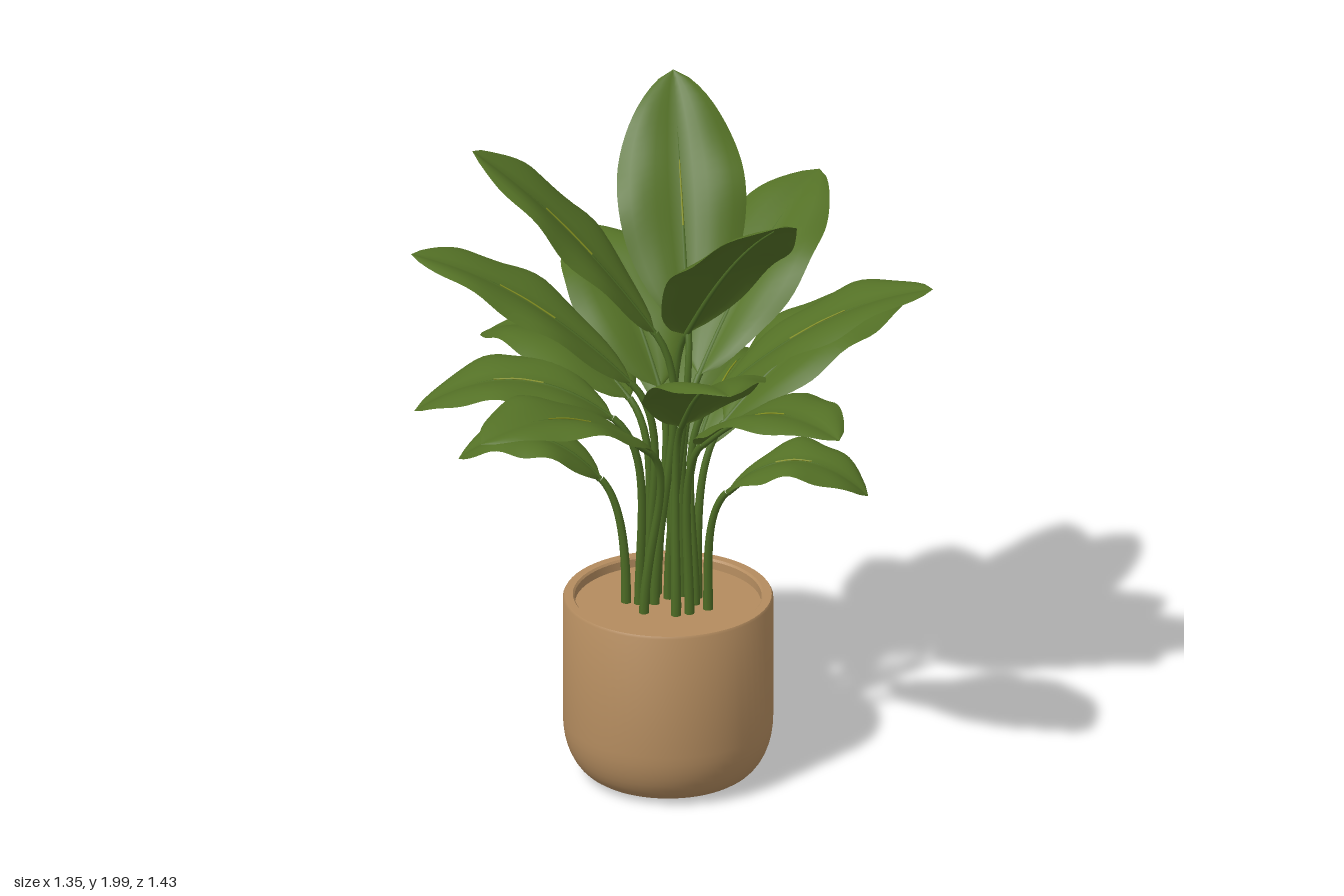
import * as THREE from 'three';
import { toCreasedNormals } from 'three/addons/utils/BufferGeometryUtils.js';

const V = (x, y, z) => new THREE.Vector3(x, y, z);
const UP = V(0, 1, 0);

// Blade base and blade tip of each leaf, by ring
const TALL = [
  [[0.05, 1.38, 0.0], [-0.2, 1.99, -0.37]],
  [[0.04, 1.36, 0.0], [0.5, 1.91, 0.29]],
  [[-0.02, 1.38, 0.07], [-0.5, 1.93, 0.28]],
];
const MIDDLE = [
  [[0.04, 1.2, -0.08], [0.085, 1.6, -0.72]],
  [[-0.08, 1.22, 0.1], [-0.65, 1.61, 0.37]],
  [[0.1, 1.15, -0.06], [0.67, 1.51, -0.32]],
  [[-0.07, 1.15, -0.05], [-0.47, 1.46, -0.33]],
  [[0.08, 1.12, 0.1], [0.45, 1.45, 0.49]],
];
const SPREADING = [
  [[0.1, 1.05, -0.12], [0.43, 1.32, -0.6]],
  [[-0.06, 1.05, -0.1], [-0.26, 1.24, -0.69]],
  [[-0.14, 1.12, 0.0], [-0.67, 1.17, -0.1]],
  [[-0.12, 1.12, 0.14], [-0.64, 1.12, 0.37]],
  [[0.02, 1.06, 0.18], [-0.24, 1.24, 0.71]],
  [[0.15, 1.08, 0.1], [0.68, 1.27, 0.26]],
];
const LOW = [
  [[0.18, 0.9, 0.01], [0.59, 0.94, -0.08]],
  [[-0.18, 0.9, 0.1], [-0.55, 0.95, 0.27]],
  [[-0.03, 0.9, -0.19], [-0.08, 1.0, -0.69]],
];

// Direction square to the blade at a point of its centre curve
function bladeFrame(curve, t) {
  const tan = curve.getTangent(t);
  const side = new THREE.Vector3().crossVectors(UP, tan).normalize();
  return { side, normal: new THREE.Vector3().crossVectors(tan, side) };
}

// Arched, softly folded blade: rows of points across a centre curve
function bladeGeometry(curve, width, phase) {
  const rows = 24, cols = 10, pos = [], index = [];
  for (let i = 0; i <= rows; i++) {
    const t = i / rows;
    const p = curve.getPoint(t), { side, normal } = bladeFrame(curve, t);
    const half = 0.5 * width * Math.pow(Math.max(0, Math.sin(Math.PI * Math.pow(t, 0.9))), 0.68);
    for (let j = 0; j <= cols; j++) {
      const s = (j / cols) * 2 - 1, a = Math.abs(s);
      const wave = 0.011 * a * a * Math.sin(t * 15 + phase + (s > 0 ? 1.7 : 0)) * Math.sin(Math.PI * t);
      const lift = half * (0.3 * a - 0.28 * a * a * a) + wave;
      const v = p.clone().addScaledVector(side, s * half).addScaledVector(normal, lift);
      pos.push(v.x, v.y, v.z);
      if (i < rows && j < cols) {
        const k = i * (cols + 1) + j, n = k + cols + 1;
        index.push(k, n, k + 1, k + 1, n, n + 1);
      }
    }
  }
  const g = new THREE.BufferGeometry();
  g.setAttribute('position', new THREE.Float32BufferAttribute(pos, 3));
  g.setIndex(index);
  g.computeVertexNormals();
  return g;
}

// Tube whose rings shrink evenly from the first to the last
function taperedTube(curve, segments, r0, r1) {
  const sides = 8, g = new THREE.TubeGeometry(curve, segments, 1, sides);
  const p = g.attributes.position;
  for (let i = 0; i < p.count; i++) {
    const t = Math.floor(i / (sides + 1)) / segments;
    const c = curve.getPointAt(t);
    const v = new THREE.Vector3().fromBufferAttribute(p, i).sub(c);
    v.multiplyScalar(r0 + (r1 - r0) * t).add(c);
    p.setXYZ(i, v.x, v.y, v.z);
  }
  return g;
}

export function createModel() {
  const model = new THREE.Group();
  const material = (name, color, side = THREE.FrontSide) => {
    const m = new THREE.MeshStandardMaterial({ color, side });
    m.name = name;
    return m;
  };
  const leafGreen = material('leaf green', 0x547126, THREE.DoubleSide);
  const stemGreen = material('stem green', 0x4d6c25);
  const veinYellow = material('vein yellow', 0x84901f);
  const clay = material('clay', 0xb48c5f);
  const add = (parent, name, geometry, mat) => {
    const mesh = new THREE.Mesh(geometry, mat);
    mesh.name = name;
    parent.add(mesh);
    return mesh;
  };

  // Pot with rounded foot and a thin lip
  const profile = [new THREE.Vector2(0, 0), new THREE.Vector2(0.18, 0)];
  for (let i = 0; i <= 10; i++) {
    const a = (i / 10) * Math.PI / 2;
    profile.push(new THREE.Vector2(0.2 + 0.1 * Math.sin(a), 0.005 + 0.165 * (1 - Math.cos(a))));
  }
  for (const [r, y] of [[0.3, 0.543], [0.296, 0.55], [0.272, 0.55], [0.267, 0.544], [0.265, 0.5]])
    profile.push(new THREE.Vector2(r, y));
  add(model, 'pot', toCreasedNormals(new THREE.LatheGeometry(profile, 64), 0.6), clay).position.z = 0.03;

  // Soil surface
  const soil = add(model, 'soil', new THREE.CylinderGeometry(0.266, 0.266, 0.02, 64), clay);
  soil.position.set(0, 0.51, 0.03);

  const addLeaf = (name, b, t, width, phase) => {
    const leaf = new THREE.Group();
    leaf.name = name;
    model.add(leaf);

    // Blade: flatter leaves arch more
    const base = V(...b), tip = V(...t);
    const arch = 0.11 - 0.11 * (tip.y - base.y);
    const mid = base.clone().lerp(tip, 0.5).addScaledVector(UP, 2 * arch);
    const spine = new THREE.QuadraticBezierCurve3(base, mid, tip);
    add(leaf, 'blade', bladeGeometry(spine, width, phase), leafGreen);

    // Stem: lower leaves root further out
    const spread = 0.12 - 0.17 * (base.y - 0.9);
    const root = V(tip.x, 0, tip.z - 0.03).normalize().multiplyScalar(spread).add(V(0, 0.51, 0.03));
    const rise = base.y - root.y;
    const stem = new THREE.CubicBezierCurve3(
      root,
      root.clone().addScaledVector(UP, rise * 0.4),
      base.clone().addScaledVector(spine.getTangent(0), -rise * 0.25),
      base);
    add(leaf, 'stem', taperedTube(stem, 20, 0.015, 0.01), stemGreen);

    // Midrib hangs just under the blade
    const rib = new THREE.CatmullRomCurve3([0, 0.2, 0.4, 0.6, 0.8, 0.95].map((u) =>
      spine.getPoint(u).addScaledVector(bladeFrame(spine, u).normal, -0.003)));
    add(leaf, 'midrib', taperedTube(rib, 16, 0.009, 0.002), stemGreen);

    // Pale vein line along the middle of the blade
    const vein = new THREE.CatmullRomCurve3([0.35, 0.48, 0.6].map((u) =>
      spine.getPoint(u).addScaledVector(bladeFrame(spine, u).normal, 0.003)));
    add(leaf, 'vein', taperedTube(vein, 8, 0.003, 0.002), veinYellow);
  };

  const rings = { tallLeaf: [TALL, 0.37], middleLeaf: [MIDDLE, 0.35], spreadingLeaf: [SPREADING, 0.35], lowLeaf: [LOW, 0.29] };
  for (const [name, [leaves, width]] of Object.entries(rings))
    leaves.forEach(([b, t], i) => addLeaf(name + (i + 1), b, t, width, i * 1.3));
  return model;
}
